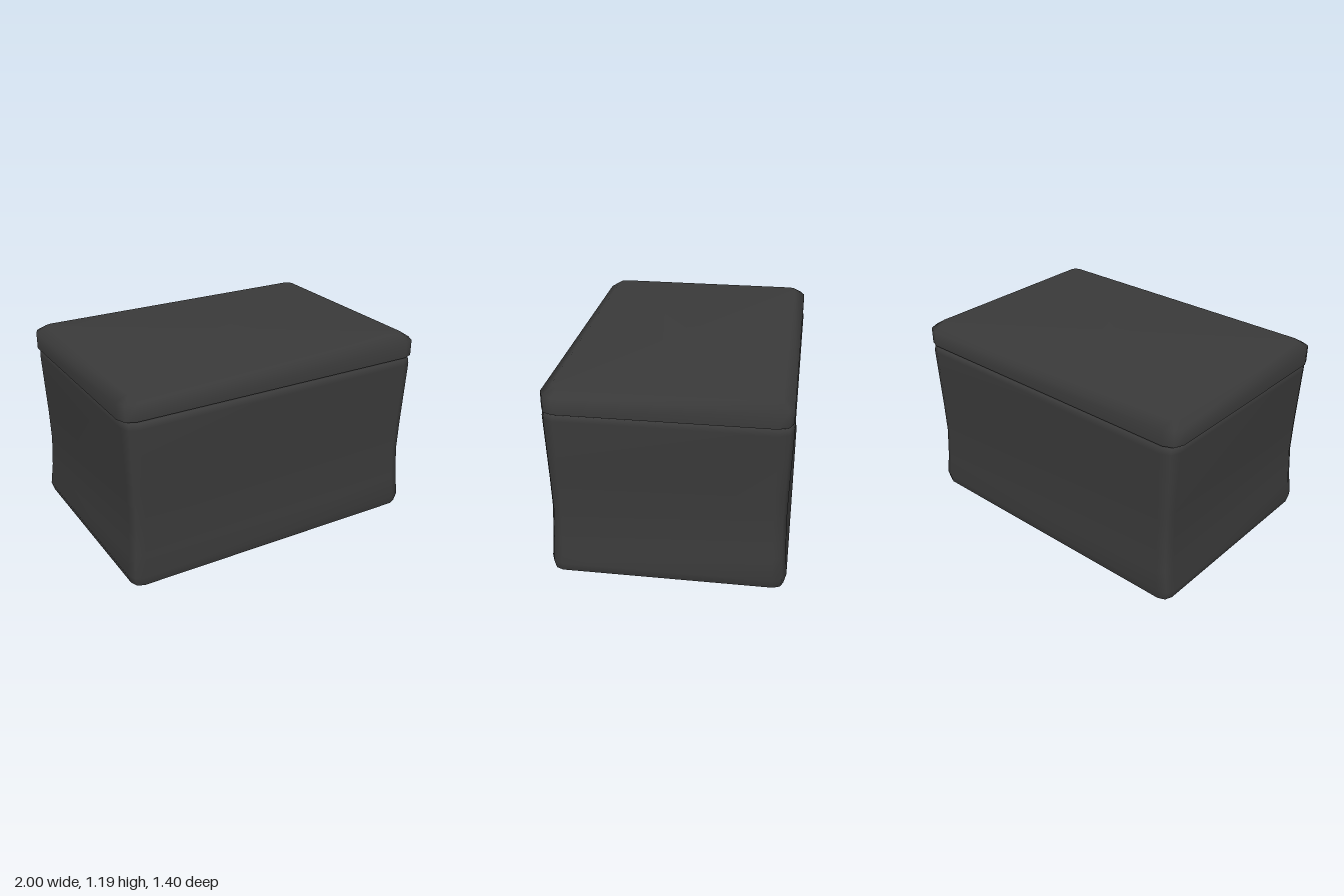
import * as THREE from 'three';

// Rounded rectangle, counter-clockwise seen from above, with two facets per corner
function ring([y, hx, hz, r]) {
  const points = [];
  for (let corner = 0; corner < 4; corner++) {
    const sx = corner === 0 || corner === 3 ? 1 : -1;
    const sz = corner < 2 ? -1 : 1;
    for (let step = 0; step < 3; step++) {
      const a = (corner + step / 2) * Math.PI / 2;
      points.push([sx * (hx - r) + r * Math.cos(a), y, sz * (hz - r) - r * Math.sin(a)]);
    }
  }
  return points;
}

// Smooth wall through the sections, soft top edge, sharp bottom edge
function loft(name, sections, material) {
  const n = 12;
  const rings = sections.map(ring);
  const positions = rings.flat(2);
  const index = [];
  for (let k = 0; k < rings.length - 1; k++) {
    for (let i = 0; i < n; i++) {
      const a = k * n + i, b = k * n + (i + 1) % n;
      index.push(a, b, b + n, a, b + n, a + n);
    }
  }
  // Top cap shares the last ring
  const last = (rings.length - 1) * n;
  const topCentre = rings.length * n;
  positions.push(0, sections[sections.length - 1][0], 0);
  for (let i = 0; i < n; i++) index.push(topCentre, last + i, last + (i + 1) % n);
  // Bottom cap has its own ring
  const base = topCentre + 1;
  positions.push(...rings[0].flat(), 0, sections[0][0], 0);
  for (let i = 0; i < n; i++) index.push(base + n, base + (i + 1) % n, base + i);

  const geometry = new THREE.BufferGeometry();
  geometry.setAttribute('position', new THREE.Float32BufferAttribute(positions, 3));
  geometry.setIndex(index);
  geometry.computeVertexNormals();
  const mesh = new THREE.Mesh(geometry, material);
  mesh.name = name;
  return mesh;
}

export function createModel() {
  const group = new THREE.Group();
  group.name = 'liddedBox';
  const material = new THREE.MeshStandardMaterial({ color: 0x3a3a3a });

  // Sections: height, half width, half depth, corner radius
  group.add(loft('body', [
    [0, 0.97, 0.685, 0.06],
    [0.06, 0.99, 0.70, 0.08],
    [0.2, 0.97, 0.69, 0.07],
    [0.4, 0.96, 0.683, 0.07],
    [0.6, 0.965, 0.687, 0.07],
    [1.0, 0.985, 0.70, 0.08],
    [1.035, 0.98, 0.692, 0.075],
    [1.05, 0.95, 0.66, 0.05],
  ], material));

  group.add(loft('lid', [
    [1.05, 1.0, 0.696, 0.085],
    [1.15, 1.0, 0.696, 0.085],
    [1.19, 0.94, 0.633, 0.04],
  ], material));
  return group;
}
